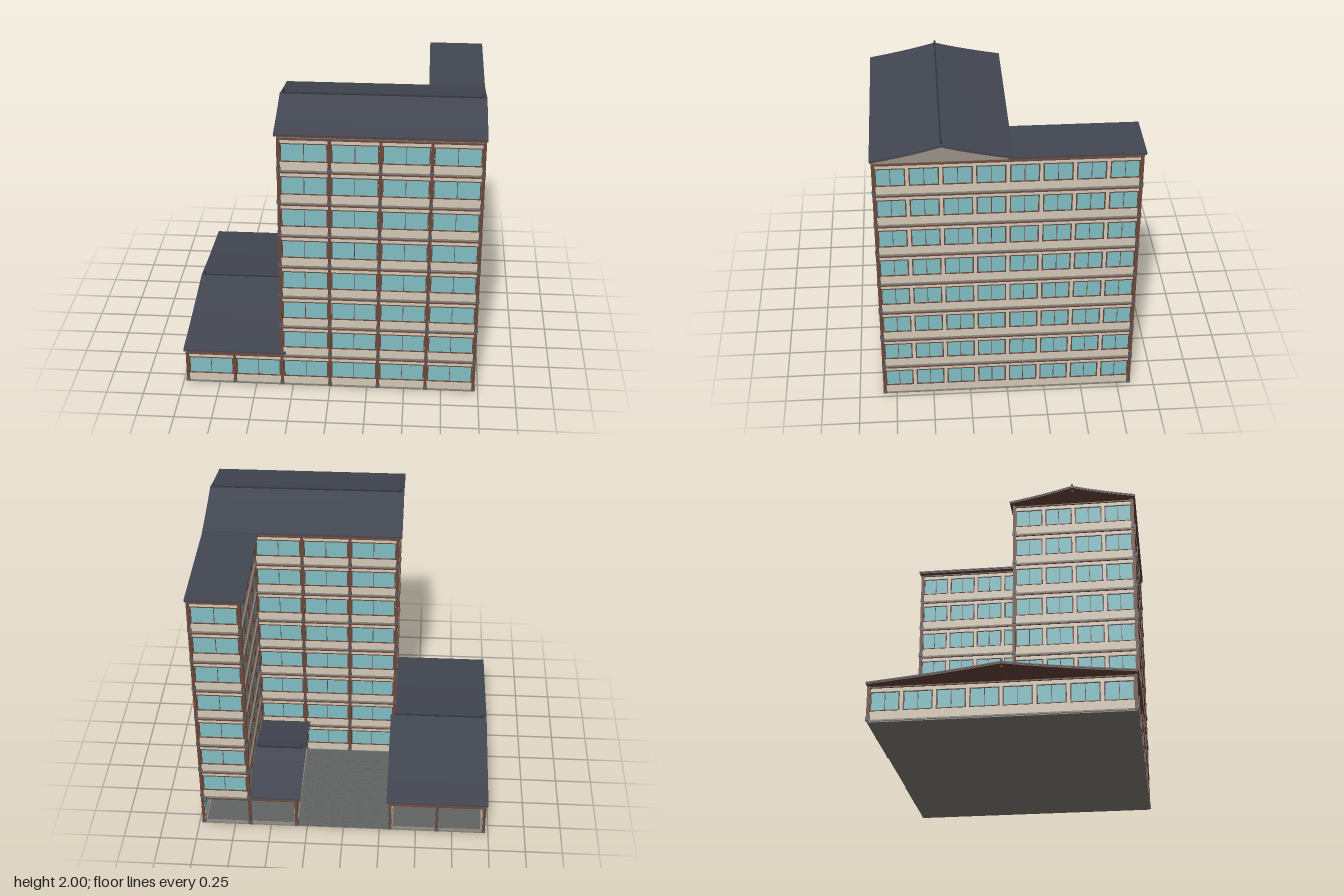
import * as THREE from 'three';
import { mergeGeometries } from 'three/addons/utils/BufferGeometryUtils.js';

const mat = (name, color) => Object.assign(new THREE.MeshStandardMaterial({ color }), { name });

// Plan lines and storey sizes
const X = 0.967, Z = 0.83, BAY = 0.3223;
const XL = -X + 2 * BAY, XW = X - BAY, XS = X - 2 * BAY;
const BASE = 0.01, FLOOR = 0.2295, STOREYS = 8;
const TOP = BASE + FLOOR * STOREYS;

export function createModel() {
  const M = {
    wall: mat('plaster', 0xd4c9b7),
    glass: mat('glass', 0x80bec4),
    wood: mat('dark wood', 0x6a483c),
    roof: mat('slate roof', 0x434752),
    ridge: mat('ridge tile', 0x33363e),
    stone: mat('post stone', 0x5b5d61),
    slab: mat('floor slab', 0x89837a),
    base: mat('foundation', 0x85827a),
    paving: mat('paving', 0x616564),
  };
  const root = new THREE.Group();
  root.name = 'apartmentBlock';

  // Collects boxes by material and turns them into one mesh per material
  function partBuilder(name) {
    const bins = {};
    return {
      box(key, x0, x1, y0, y1, z0, z1) {
        const g = new THREE.BoxGeometry(x1 - x0, y1 - y0, z1 - z0);
        g.translate((x0 + x1) / 2, (y0 + y1) / 2, (z0 + z1) / 2);
        (bins[key] ??= []).push(g);
      },
      finish(parent = root) {
        const group = new THREE.Group();
        group.name = name;
        for (const key in bins) {
          const mesh = new THREE.Mesh(mergeGeometries(bins[key]), M[key]);
          mesh.name = `${name} ${M[key].name}`;
          group.add(mesh);
        }
        parent.add(group);
        return group;
      },
    };
  }

  // One window bay, drawn in the wall's own frame with +z outwards
  function windowBay(b, x0, x1, y) {
    const l = x0 + 0.0165, r = x1 - 0.0165, s = y + 0.068, t = y + 0.187, m = (l + r) / 2;
    b.box('wall', x0, x1, y, s, -0.012, 0);
    b.box('wall', x0, x1, t, y + 0.217, -0.012, 0);
    b.box('wall', x0, l, s, t, -0.012, 0);
    b.box('wall', r, x1, s, t, -0.012, 0);
    b.box('glass', l, r, s, t, -0.01, -0.003);
    const f = 0.006;
    b.box('wood', l - f, l + 0.002, s - 0.004, t + 0.004, -0.006, 0.004);
    b.box('wood', r - 0.002, r + f, s - 0.004, t + 0.004, -0.006, 0.004);
    b.box('wood', l, r, s - 0.004, s + 0.001, -0.006, 0.004);
    b.box('wood', l, r, t - 0.001, t + 0.004, -0.006, 0.004);
    b.box('wood', m - 0.002, m + 0.002, s, t, -0.006, 0);
  }

  // Wall from a to b over several storeys, outside to the right of travel
  function facade(name, a, b, bays, { from = 0, to = STOREYS, posts = false, openGround = false } = {}) {
    const dx = b[0] - a[0], dz = b[1] - a[1], len = Math.hypot(dx, dz), w = len / bays;
    const part = partBuilder(name);
    for (let k = from; k < to; k++) {
      const y = BASE + k * FLOOR, open = openGround && k === 0;
      if (!open) {
        for (let i = 0; i < bays; i++) windowBay(part, i * w, (i + 1) * w, y);
      }
      part.box('slab', -0.006, len + 0.006, y - 0.004, y + 0.006, -0.02, 0.007);
      part.box('wood', -0.009, len + 0.009, y + 0.216, y + 0.2245, -0.014, 0.01);
      for (let i = 0; i <= bays && posts; i++) {
        const c = i * w;
        part.box('wood', c - 0.01, c + 0.01, y, y + 0.217, -0.012, 0.009);
        part.box('stone', c - 0.013, c + 0.013, y, y + 0.026, -0.014, 0.012);
      }
    }
    const g = part.finish();
    g.position.set(a[0], 0, a[1]);
    g.rotation.y = Math.atan2(-dz, dx);
  }

  // Ground slab and courtyard paved with small square stones
  const ground = partBuilder('ground');
  ground.box('base', -X, X, 0, 0.008, -Z, Z);
  ground.box('paving', -X, X, 0.008, 0.011, -Z, Z);
  const nx = 16, nz = 20, px = (XS - XL) / nx, pz = Z / nz;
  for (let i = 0; i < nx; i++) {
    for (let j = 0; j < nz; j++) {
      const x = XL + i * px, z = -Z + j * pz;
      ground.box('paving', x + 0.0015, x + px - 0.0015, 0.01, 0.014, z + 0.0015, z + pz - 0.0015);
    }
  }
  ground.finish();

  // Tower walls: front block and rear wing
  facade('towerFront', [XL, Z], [X, Z], 4, { posts: true });
  facade('towerRight', [X, Z], [X, -Z], 8);
  facade('wingBack', [X, -Z], [XW, -Z], 1, { posts: true, openGround: true });
  facade('wingCourtSide', [XW, -Z], [XW, 0], 4, { from: 1 });
  facade('towerBack', [XW, 0], [XL, 0], 3, { posts: true });
  facade('towerLeft', [XL, 0], [XL, Z], 4, { from: 1 });

  // Low hall on the right-hand side
  facade('hallFront', [-X, Z], [XL, Z], 2, { to: 1, posts: true });
  facade('hallOuterSide', [-X, -Z], [-X, Z], 8, { to: 1 });
  facade('hallCourtSide', [XL, 0], [XL, -Z], 4, { to: 1 });
  facade('hallBack', [XL, -Z], [-X, -Z], 2, { to: 1, posts: true, openGround: true });

  // Small annex beside the rear wing
  facade('annexCourtSide', [XS, -Z], [XS, 0], 4, { to: 1 });
  facade('annexBack', [XW, -Z], [XS, -Z], 1, { to: 1, posts: true, openGround: true });

  // Floors inside the tower
  const floors = partBuilder('towerFloors');
  for (let k = 1; k <= STOREYS; k++) {
    const y = BASE + k * FLOOR - 0.005;
    floors.box('slab', XL + 0.005, X - 0.005, y - 0.004, y + 0.003, 0.005, Z - 0.005);
    floors.box('slab', XW + 0.005, X - 0.005, y - 0.004, y + 0.003, -Z + 0.005, 0.005);
  }
  floors.finish();

  // Sheet that follows a slightly hollow gable curve, extruded along x
  function gableSheet(half, rise, lower, upper, length) {
    const line = [[-1, 0], [-0.75, 0.21], [-0.5, 0.44], [-0.25, 0.7], [0, 1],
      [0.25, 0.7], [0.5, 0.44], [0.75, 0.21], [1, 0]];
    const pts = line.map(([u, v]) => new THREE.Vector2(u * half, v * rise + upper));
    for (const [u, v] of [...line].reverse()) pts.push(new THREE.Vector2(u * half, v * rise + lower));
    const g = new THREE.ExtrudeGeometry(new THREE.Shape(pts), { depth: length, bevelEnabled: false });
    return g.rotateY(Math.PI / 2);
  }

  // Gable roof with tiles, boarding, beams, ridge cap and end ornaments
  function gableRoof(name, x0, x1, zc, half, eave, rise, wallHalf) {
    const g = new THREE.Group();
    g.name = name;
    const len = x1 - x0;
    const tiles = new THREE.Mesh(gableSheet(half, rise, 0.005, 0.014, len), M.roof);
    tiles.name = 'roofTiles';
    const boards = new THREE.Mesh(gableSheet(half - 0.003, rise, -0.002, 0.0049, len - 0.004), M.wood);
    boards.name = 'roofBoards';
    boards.position.x = 0.002;
    g.add(tiles, boards);
    const b = partBuilder('roofTimbers');
    b.box('ridge', 0.025, len - 0.02, rise + 0.006, rise + 0.019, -0.006, 0.006);
    for (const x of [0.025, len - 0.025]) {
      b.box('ridge', x - 0.005, x + 0.005, rise + 0.006, rise + 0.04, -0.007, 0.007);
    }
    b.box('wood', 0.03, len - 0.03, rise - 0.014, rise - 0.004, -0.006, 0.006);
    for (const s of [-1, 1]) {
      b.box('wood', 0.035, len - 0.035, -0.012, -0.001, s * wallHalf - 0.007, s * wallHalf + 0.007);
    }
    b.finish(g);
    g.position.set(x0, eave, zc);
    root.add(g);
  }
  gableRoof('towerRoof', -0.35, 0.985, 0.41, 0.44, 1.86, 0.098, 0.415);
  gableRoof('hallRoof', -0.99, -0.297, 0, 0.849, 0.251, 0.098, 0.83);
  gableRoof('annexRoof', 0.29, 0.64, -0.42, 0.433, 0.251, 0.098, 0.41);

  // Flat roof of the rear wing
  const flat = partBuilder('wingRoof');
  flat.box('wood', 0.615, 0.983, TOP + 0.004, TOP + 0.012, -0.85, 0);
  flat.box('roof', 0.612, 0.985, TOP + 0.012, TOP + 0.022, -0.853, 0);
  flat.finish();

  return root;
}
